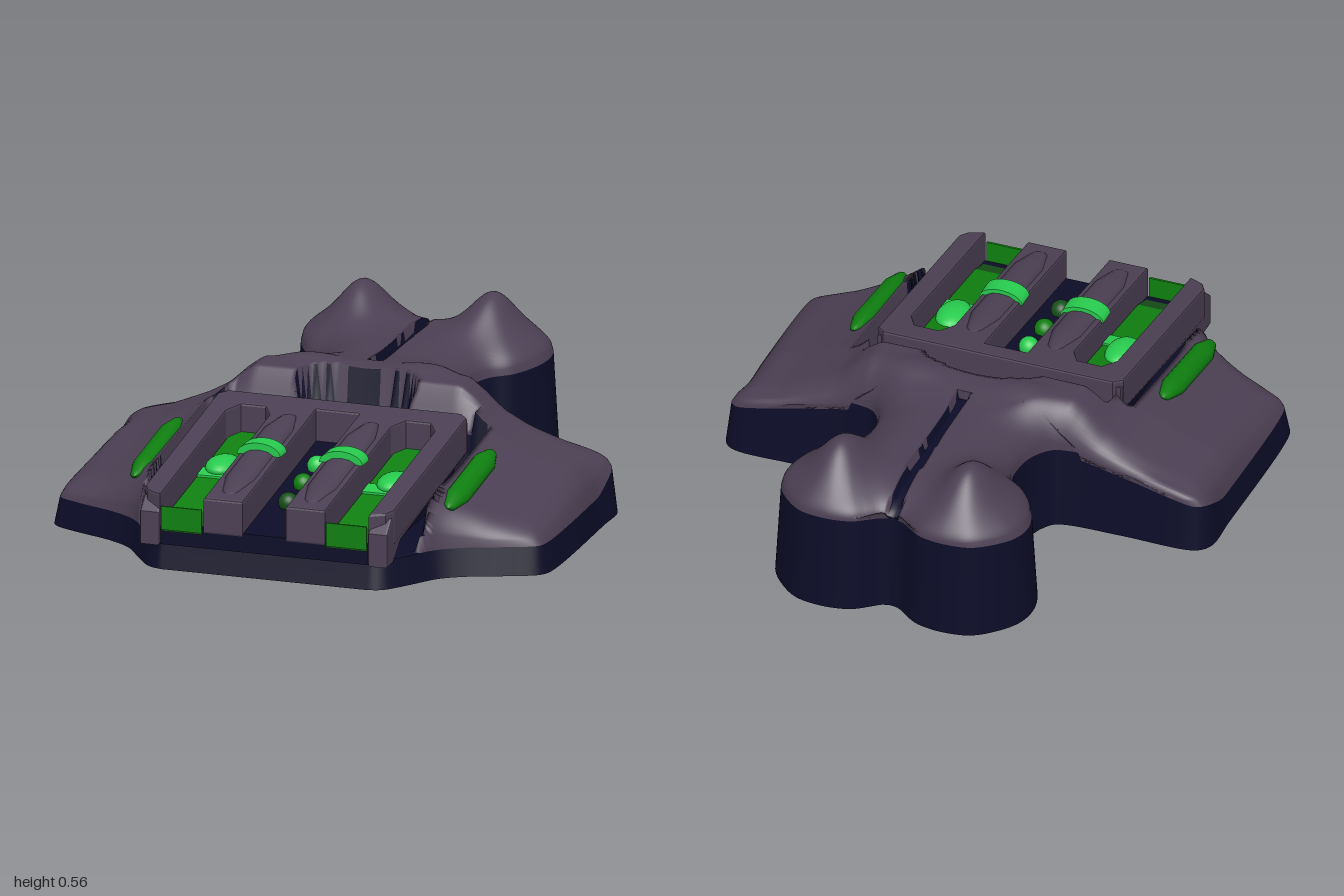
import * as THREE from 'three';

const mat = (name, color, side = THREE.FrontSide) => {
  const m = new THREE.MeshStandardMaterial({ color, side });
  m.name = name;
  return m;
};
const smooth = THREE.MathUtils.smoothstep, mix = THREE.MathUtils.lerp;

// piecewise linear lookup in [[input, value], ...]
function lookup(table, v) {
  for (let i = 1; i < table.length; i++) {
    const [a, ya] = table[i - 1], [b, yb] = table[i];
    if (v <= b) return mix(ya, yb, Math.max(0, (v - a) / (b - a)));
  }
  return table[table.length - 1][1];
}

// right half of the hull outline, back notch to front corner, as [x, z]
const OUTLINE = [[0, -.89], [.04, -.9], [.08, -.93], [.125, -.962], [.18, -.977], [.24, -.98], [.32, -.965],
  [.39, -.91], [.44, -.84], [.455, -.76], [.435, -.67], [.38, -.58], [.315, -.53], [.285, -.48], [.275, -.42],
  [.28, -.33], [.3, -.27], [.34, -.22], [.4, -.203], [.6, -.197], [.86, -.19], [.89, -.16], [.895, 0],
  [.895, .58], [.88, .61], [.8, .65], [.65, .71], [.56, .77], [.48, .88], [.42, .955], [.38, .97]];
const PROFILE = [[0, .455], [.38, .455], [.43, .42], [.5, .355], [.58, .31], [.72, .25], [.9, .2]];

// height of the dark side wall
function wallHeight(x, z) {
  if (z < -.2) return .3 + .075 * (-.2 - z);
  return mix(lookup([[.3, .3], [.86, .17]], x), .1, smooth(z, -.2, .02));
}
const inCockpit = (x, z) => (x / .22) ** 2 + (z / .085) ** 2 < 1;
const inWell = (x, z) => x < .515 && z > .075;
const inSeam = (x, z) => x < .022 && z < -.2;

// height of the hull skin; x is the distance from the middle, d from the edge
function hullHeight(x, z, d) {
  let top = lookup(PROFILE, x) - .12 * Math.max(0, z - .1);
  top += .025 * Math.exp(-(((z + .13) / .07) ** 2) - ((x - .2) / .12) ** 2);
  const rear = smooth(z, -.35, -.15);
  const tail = .445 + .115 * Math.exp(-(((x - .24) / .1) ** 2) - ((z + .77) / .15) ** 2);
  top = mix(tail, top, rear);
  if (x < .46) top = mix(top, .3, smooth(z, -.02, .08));
  if (inCockpit(x, z)) top = .33;
  if (inWell(x, z)) top = .11;
  if (inSeam(x, z)) top -= .035;
  const low = Math.min(wallHeight(x, z), top + .02);
  const t = 1 - Math.min(1, d / mix(.2, .1, rear));
  return low + (top - low) * Math.sqrt(1 - t * t);
}

function buildHull(group, skin, dark) {
  const curve = new THREE.CatmullRomCurve3(OUTLINE.map(([x, z]) => new THREE.Vector3(x, 0, z)));
  const edge = curve.getSpacedPoints(220), N = 60, W = 2 * N + 1;
  const lines = edge.slice(1).map((p, i) => new THREE.Line3(edge[i], p));
  const near = new THREE.Vector3(), p = new THREE.Vector3();

  // skin: rows from the middle out to both edges
  const pos = [], lit = [], shade = [];
  for (const e of edge) {
    const half = [];
    for (let j = 0; j <= N; j++) {
      p.set(e.x * j / N, 0, mix(Math.max(e.z, -.89), e.z, j / N));
      let d = 9;
      for (const l of lines) d = Math.min(d, l.closestPointToPoint(p, true, near).distanceTo(p));
      half.push([p.x, hullHeight(p.x, p.z, j === N ? 0 : d), p.z]);
    }
    for (let j = -N; j <= N; j++) {
      const [x, y, z] = half[Math.abs(j)];
      pos.push(Math.sign(j) * x, y, z);
    }
  }
  for (let i = 0; i < edge.length - 1; i++) for (let j = 0; j < W - 1; j++) {
    const a = i * W + j, c = a + W;
    const x = Math.abs(pos[3 * a] + pos[3 * c + 3]) / 2, z = (pos[3 * a + 2] + pos[3 * c + 5]) / 2;
    const list = inSeam(x, z) || inCockpit(x, z) || inWell(x, z) ? shade : lit;
    list.push(a, c, a + 1, a + 1, c, c + 1);
  }
  const g = new THREE.BufferGeometry();
  g.setAttribute('position', new THREE.Float32BufferAttribute(pos, 3));
  g.setIndex([...lit, ...shade]);
  g.addGroup(0, lit.length, 0);
  g.addGroup(lit.length, shade.length, 1);
  g.computeVertexNormals();
  add(group, 'hullSkin', g, [skin, dark]);

  // wall: closed loop flaring outward to the ground
  const right = edge.map((e) => [e.x, hullHeight(e.x, e.z, 0), e.z]);
  const loop = [...right, ...right.slice(1).reverse().map(([x, y, z]) => [-x, y, z])];
  const n = loop.length, wall = [], idx = [], base = [];
  loop.forEach(([x, y, z], i) => {
    const a = loop[(i + n - 1) % n], b = loop[(i + 1) % n];
    const tx = b[0] - a[0], tz = b[2] - a[2], l = Math.hypot(tx, tz) || 1;
    const bx = x + .02 * tz / l, bz = z - .02 * tx / l;
    wall.push(x, y, z, bx, 0, bz);
    base.push(new THREE.Vector2(bx, bz));
    const t = 2 * i, u = 2 * ((i + 1) % n);
    idx.push(t, u, u + 1, t, u + 1, t + 1);
  });
  const w = new THREE.BufferGeometry();
  w.setAttribute('position', new THREE.Float32BufferAttribute(wall, 3));
  w.setIndex(idx);
  w.computeVertexNormals();
  add(group, 'hullWall', w, dark);
  add(group, 'hullBase', new THREE.ShapeGeometry(new THREE.Shape(base)).rotateX(Math.PI / 2), dark);
}

function add(group, name, geo, material, x = 0, y = 0, z = 0) {
  const m = new THREE.Mesh(geo, material);
  m.name = name;
  m.position.set(x, y, z);
  group.add(m);
  return m;
}

// tilt the deck parts down towards the front
function slope(geo) {
  const p = geo.attributes.position;
  for (let i = 0; i < p.count; i++) p.setY(i, p.getY(i) - .14 * (p.getZ(i) - .1));
  geo.computeVertexNormals();
  return geo;
}
const shape = (pts) => new THREE.Shape(pts.map(([x, y]) => new THREE.Vector2(x, y)));
const bevel = (depth, b) => ({ depth: depth - 2 * b, bevelEnabled: b > 0, bevelSize: b, bevelThickness: b, bevelOffset: -b, bevelSegments: 2 });

// side profile of [z, y] points, extruded from x0 to x1
function slab(pts, x0, x1, b = 0) {
  return new THREE.ExtrudeGeometry(shape(pts), bevel(x1 - x0, b)).rotateY(-Math.PI / 2).translate(x1 - b, 0, 0);
}
// pointed bar lying along z
function spindle(r, len, flat, sides) {
  const pts = [[0, -.5], [.5, -.46], [1, -.3], [1, .3], [.5, .46], [0, .5]];
  return new THREE.LatheGeometry(pts.map(([a, b]) => new THREE.Vector2(a * r, b * len)), sides)
    .rotateX(Math.PI / 2).scale(1, flat, 1);
}

export function createModel() {
  const model = new THREE.Group();
  const skin = mat('purpleGrey', 0x4c4054), dark = mat('navy', 0x0c0c28);
  const green = mat('green', 0x0f8010), bright = mat('brightGreen', 0x28cc4e), deep = mat('deepGreen', 0x17501a);

  const hull = new THREE.Group();
  hull.name = 'hull';
  model.add(hull);
  buildHull(hull, skin, dark);

  const deck = new THREE.Group();
  deck.name = 'deck';
  model.add(deck);

  // slotted deck plate, open to the front
  const comb = [[.43, .12], [.46, .15], [.46, .93], [.44, .965], [.385, .99], [.385, .28], [.35, .22], [.26, .22],
    [.225, .28], [.225, .99], [.08, .99], [.08, .2]];
  const full = [...comb, ...comb.slice().reverse().map(([x, z]) => [-x, z])];
  const plate = new THREE.ExtrudeGeometry(shape(full), bevel(.13, .008)).rotateX(Math.PI / 2).translate(0, .392, 0);
  add(deck, 'deckPlate', slope(plate), skin);

  // dark trough below the slots
  add(deck, 'trough', slab([[.11, .28], [.985, .158], [.985, .09], [.8, .085], [.11, .1]], -.4, .4), dark);

  // middle dots
  [[.42, bright], [.57, green], [.73, deep]].forEach(([z, m]) =>
    add(deck, 'dot', new THREE.SphereGeometry(.036, 20, 14), m, 0, .295 - .14 * (z - .1), z));

  for (const s of [-1, 1]) {
    // outer cheek, from deck plate down to the front lip
    const cheek = slab([[.13, .37], [.95, .255], [1, .21], [1, .09], [.93, .09], [.85, .15], [.6, .19], [.13, .26]], .385, .458, .008);
    add(deck, 'cheek', cheek, skin, s < 0 ? -.843 : 0);

    // green slot floor with a steeper front
    const shift = s < 0 ? -.61 : 0;
    add(deck, 'slotFloor', slab([[.22, .28], [.88, .19], [.88, .15], [.22, .2]], .23, .38), green, shift);
    add(deck, 'slotFront', slab([[.88, .19], [.99, .15], [.99, .14], [.88, .14]], .23, .38), deep, shift);
    add(deck, 'slotLip', new THREE.BoxGeometry(.15, .085, .008), green, s * .305, .19, .993);
    add(deck, 'slotBand', slope(new THREE.BoxGeometry(.15, .012, .07).translate(s * .305, .3, .575)), bright);
    const lamp = add(deck, 'lamp', new THREE.SphereGeometry(1, 24, 14), bright, s * .317, .245, .51);
    lamp.scale.set(.06, .035, .087);

    // raised rib bar with a bright clasp
    add(deck, 'ribBar', slope(spindle(.055, .7, .42, 10).translate(s * .152, .396, .6)), skin);
    const arch = new THREE.Shape();
    arch.absellipse(0, 0, .08, .045, 0, Math.PI);
    add(deck, 'clasp', new THREE.ExtrudeGeometry(arch, { depth: .07, bevelEnabled: false, curveSegments: 16 }),
      bright, s * .152, .327, .54);

    // wing light
    const light = add(model, 'wingLight', spindle(.042, .49, .75, 12), green, s * .58, .268, .46);
    light.rotation.set(.14, 0, -s * .4);
  }
  return model;
}
